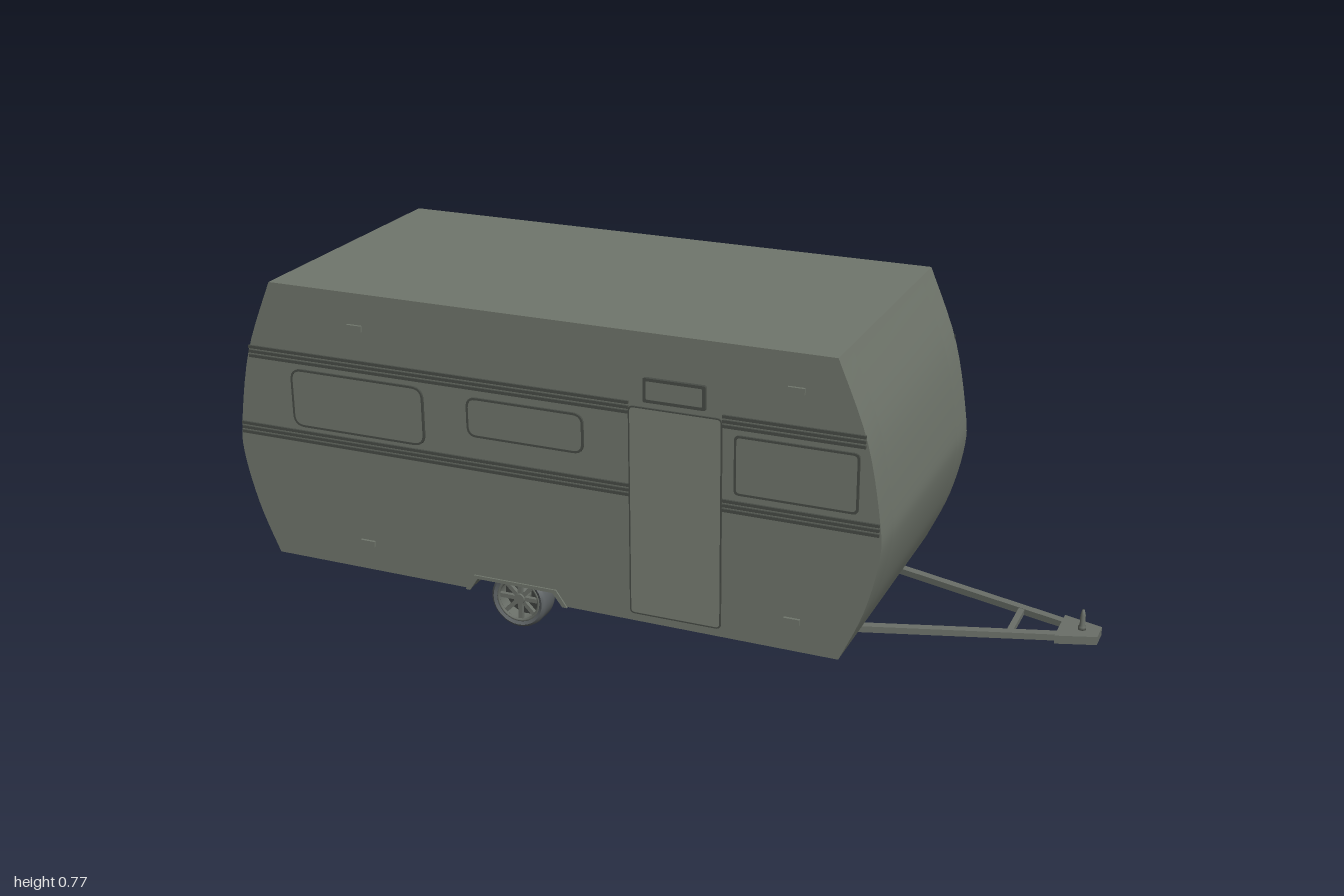
import * as THREE from 'three';
import { toCreasedNormals } from 'three/addons/utils/BufferGeometryUtils.js';

const paint = (color) => new THREE.MeshStandardMaterial({ color, side: THREE.DoubleSide });
const bodyPaint = paint(0x70766c);
const doorPaint = paint(0x787e73);
const trimPaint = paint(0x484c46);
const metal = paint(0x6a6f68);
const rubber = paint(0x5e6365);
const shadow = paint(0x3c3f3c);
const SIDE = 0.347; // half width of the body

function add(parent, name, material, geometry, x = 0, y = 0, z = 0) {
  const mesh = new THREE.Mesh(geometry, material);
  mesh.name = name;
  mesh.position.set(x, y, z);
  parent.add(mesh);
  return mesh;
}

const extrude = (shape, depth) =>
  new THREE.ExtrudeGeometry(shape, { depth, bevelEnabled: false, curveSegments: 6 });
const polygon = (points) => new THREE.Shape(points.map(([x, y]) => new THREE.Vector2(x, y)));

// Rounded rectangle given by its left, right, bottom and top
function rounded(x0, x1, y0, y1, r, Type = THREE.Shape) {
  const s = new Type();
  s.moveTo(x0 + r, y0);
  s.lineTo(x1 - r, y0).quadraticCurveTo(x1, y0, x1, y0 + r);
  s.lineTo(x1, y1 - r).quadraticCurveTo(x1, y1, x1 - r, y1);
  s.lineTo(x0 + r, y1).quadraticCurveTo(x0, y1, x0, y1 - r);
  s.lineTo(x0, y0 + r).quadraticCurveTo(x0, y0, x0 + r, y0);
  return s;
}

// Rounded border of width w
function border(x0, x1, y0, y1, r, w, depth) {
  const shape = rounded(x0, x1, y0, y1, r);
  shape.holes.push(rounded(x0 + w, x1 - w, y0 + w, y1 - w, r * 0.8, THREE.Path));
  return extrude(shape, depth);
}

// Side outline of the body, with bulging ends and optional wheel notch
function hullGeometry(notch, depth) {
  const curve = (pts) => new THREE.SplineCurve(pts.map(([x, y]) => new THREE.Vector2(x, y)))
    .getPoints(24).map((p) => [p.x, p.y]);
  const nose = curve([[0.5, 0.078], [0.553, 0.2], [0.584, 0.33], [0.582, 0.42], [0.548, 0.597], [0.48, 0.77]]);
  const tail = curve([[-0.893, 0.77], [-0.963, 0.597], [-0.998, 0.42], [-1.0, 0.33], [-0.968, 0.2], [-0.92, 0.084]]);
  const arch = notch ? [[-0.4, 0.082], [-0.38, 0.114], [-0.185, 0.114], [-0.16, 0.081]] : [];
  return toCreasedNormals(extrude(polygon([...nose, ...tail, ...arch]), depth), 0.4);
}

// Beam between two points on the floor plan
function beam(parent, name, a, b, y, width, height) {
  const dx = b[0] - a[0], dz = b[1] - a[1];
  const m = add(parent, name, metal, new THREE.BoxGeometry(Math.hypot(dx, dz), height, width),
    (a[0] + b[0]) / 2, y, (a[1] + b[1]) / 2);
  m.rotation.y = -Math.atan2(dz, dx);
}

// Fittings on one side wall, drawn in x and y, standing out towards +z
function makeSide(hasDoor) {
  const side = new THREE.Group();

  // Ribbed trim bands, broken by the door
  for (const [y, left, right] of [[0.595, -0.961, 0.546], [0.4, -0.997, 0.582]]) {
    const runs = hasDoor ? [[left, 0.008], [0.227, right]] : [[left, right]];
    for (const [a, b] of runs) {
      for (const dy of [-0.011, 0, 0.011]) {
        add(side, 'trimBand', trimPaint, new THREE.BoxGeometry(b - a, 0.007, 0.006), (a + b) / 2, y + dy, 0.001);
      }
    }
  }

  // Windows: thin raised frame with the pane just behind it
  for (const [x0, x1, y0, y1, r] of [
    [-0.85, -0.5, 0.425, 0.568, 0.03],
    [-0.39, -0.1, 0.468, 0.563, 0.025],
    [0.255, 0.535, 0.43, 0.568, 0.012],
  ]) {
    const w = 0.005;
    add(side, 'windowFrame', trimPaint, border(x0, x1, y0, y1, r, w, 0.005));
    add(side, 'windowPane', bodyPaint, extrude(rounded(x0 + w, x1 - w, y0 + w, y1 - w, r * 0.8), 0.004));
  }

  // Small lamp above the door position, slimmer on the plain side
  const lampDepth = hasDoor ? 0.008 : 0.005;
  add(side, 'lampFrame', hasDoor ? trimPaint : bodyPaint, border(0.045, 0.19, 0.614, 0.67, 0.004, 0.007, lampDepth));
  add(side, 'lampLens', bodyPaint, new THREE.BoxGeometry(0.131, 0.042, lampDepth), 0.1175, 0.642, lampDepth / 2 - 0.001);

  // Marker lights near the corners
  for (const x of [-0.67, 0.392]) {
    for (const y of [0.688, 0.152]) {
      add(side, 'markerLight', bodyPaint, new THREE.BoxGeometry(0.038, 0.014, 0.007), x, y, 0.002);
    }
  }

  // Wheel arch lip
  add(side, 'archLip', bodyPaint, extrude(polygon([
    [-0.412, 0.08], [-0.388, 0.12], [-0.178, 0.12], [-0.15, 0.08],
    [-0.162, 0.08], [-0.187, 0.112], [-0.379, 0.112], [-0.4, 0.08]]), 0.004));

  // Door with a thin surround
  if (hasDoor) {
    add(side, 'doorSurround', trimPaint, border(0.008, 0.227, 0.1, 0.6, 0.012, 0.003, 0.004));
    add(side, 'door', doorPaint, extrude(rounded(0.011, 0.224, 0.103, 0.597, 0.01), 0.003));
  }
  return side;
}

// Wheel with its axis on z
function makeWheel() {
  const wheel = new THREE.Group();
  wheel.name = 'wheel';
  const profile = [[0.054, -0.028], [0.062, -0.032], [0.068, -0.027], [0.07, -0.018], [0.07, 0.018],
    [0.068, 0.027], [0.062, 0.032], [0.054, 0.028], [0.054, -0.028]];
  const tyre = new THREE.LatheGeometry(profile.map(([r, h]) => new THREE.Vector2(r, h)), 40);
  add(wheel, 'tyre', rubber, toCreasedNormals(tyre, 0.7)).rotation.x = Math.PI / 2;
  const rim = new THREE.CylinderGeometry(0.053, 0.053, 0.05, 32, 1, true);
  add(wheel, 'rim', metal, rim).rotation.x = Math.PI / 2;
  add(wheel, 'rimLip', metal, new THREE.TorusGeometry(0.052, 0.004, 6, 36), 0, 0, 0.026);
  const hub = new THREE.CylinderGeometry(0.013, 0.015, 0.04, 20);
  add(wheel, 'hub', metal, hub, 0, 0, 0.005).rotation.x = Math.PI / 2;
  for (let i = 0; i < 8; i++) {
    const a = (i / 8) * Math.PI * 2;
    const spoke = add(wheel, 'spoke', metal, new THREE.BoxGeometry(0.044, 0.01, 0.01),
      0.031 * Math.cos(a), 0.031 * Math.sin(a), 0.015);
    spoke.rotation.z = a;
  }
  add(wheel, 'wheelBack', shadow, new THREE.CircleGeometry(0.053, 32), 0, 0, -0.012);
  return wheel;
}

export function createModel() {
  const model = new THREE.Group();
  model.name = 'caravan';

  // Body: notched side slices around a plain centre
  const body = new THREE.Group();
  body.name = 'body';
  body.position.z = -0.001;
  model.add(body);
  add(body, 'centreShell', bodyPaint, hullGeometry(false, 0.52), 0, 0, -0.26);
  add(body, 'leftShell', bodyPaint, hullGeometry(true, SIDE - 0.26), 0, 0, 0.26);
  add(body, 'rightShell', bodyPaint, hullGeometry(true, SIDE - 0.26), 0, 0, -SIDE);

  // Side fittings, the far side mirrored in z
  const near = makeSide(true);
  near.name = 'doorSide';
  near.position.z = SIDE;
  const far = makeSide(false);
  far.name = 'plainSide';
  far.position.z = -SIDE;
  far.scale.z = -1;
  model.add(near, far);

  // Chassis and drawbar
  const chassis = new THREE.Group();
  chassis.name = 'chassis';
  model.add(chassis);
  for (const s of [1, -1]) {
    const wheel = makeWheel();
    wheel.position.set(-0.282, 0.07, s * 0.309);
    if (s < 0) wheel.rotation.y = Math.PI;
    model.add(wheel);
    beam(chassis, 'sideRail', [-0.29, s * 0.25], [0.21, s * 0.25], 0.068, 0.02, 0.015);
    beam(chassis, 'drawbarRail', [0.2, s * 0.252], [0.95, s * 0.022], 0.068, 0.02, 0.015);
    add(chassis, 'suspensionArm', metal, new THREE.BoxGeometry(0.09, 0.014, 0.02), -0.26, 0.069, s * 0.267);
  }
  beam(chassis, 'frontCrossbar', [0.81, -0.064], [0.81, 0.064], 0.068, 0.014, 0.013);
  beam(chassis, 'middleCrossbar', [0.205, -0.25], [0.205, 0.25], 0.068, 0.018, 0.014);
  beam(chassis, 'axle', [-0.282, -0.3], [-0.282, 0.3], 0.068, 0.02, 0.014);

  // Coupling plate with pin
  const plate = extrude(polygon([[0.91, -0.055], [1, -0.026], [1, 0.026], [0.91, 0.055]]), 0.02);
  add(chassis, 'couplingPlate', metal, plate, 0, 0.078, 0).rotation.x = Math.PI / 2;
  const pin = [[0, 0], [0.009, 0], [0.009, 0.008], [0.006, 0.012], [0.006, 0.036], [0.003, 0.049], [0, 0.049]];
  add(chassis, 'couplingPin', metal,
    new THREE.LatheGeometry(pin.map(([r, h]) => new THREE.Vector2(r, h)), 14), 0.96, 0.077, 0);

  return model;
}
